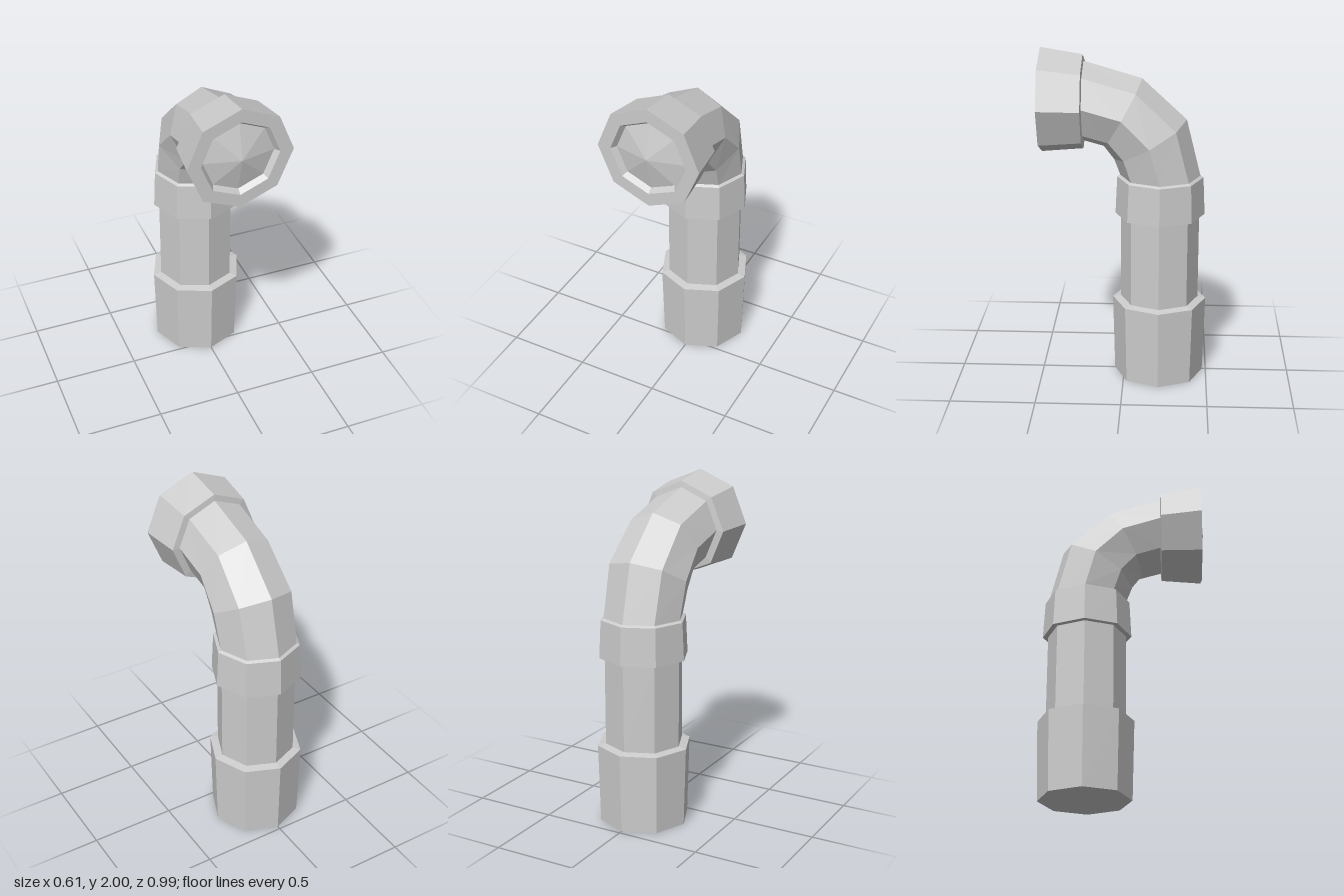
import * as THREE from 'three';

const SIDES = 8;
const AXIS_Z = -0.21; // upright pipe axis
const MOUTH_Y = 1.69; // horizontal mouth axis

// Octagonal ring of radius r, tilted from vertical (0) to forward (90 degrees)
function ringPoints([y, z, r, tilt]) {
  const a = THREE.MathUtils.degToRad(tilt);
  return Array.from({ length: SIDES }, (_, i) => {
    const t = (i / SIDES) * Math.PI * 2;
    const w = r * Math.sin(t);
    return [r * Math.cos(t), y + w * Math.sin(a), z - w * Math.cos(a)];
  });
}

// Skin a list of rings [y, z, radius, tilt]; a zero radius closes to a point
function loft(name, rings) {
  const pts = rings.map(ringPoints);
  const pos = [];
  for (let i = 0; i < rings.length - 1; i++) {
    for (let j = 0; j < SIDES; j++) {
      const k = (j + 1) % SIDES;
      const a = pts[i][j], b = pts[i][k], c = pts[i + 1][k], d = pts[i + 1][j];
      if (rings[i][2] > 0) pos.push(...a, ...b, ...c);
      if (rings[i + 1][2] > 0) pos.push(...a, ...c, ...d);
    }
  }
  const geo = new THREE.BufferGeometry();
  geo.setAttribute('position', new THREE.Float32BufferAttribute(pos, 3));
  geo.computeVertexNormals();
  const mat = new THREE.MeshStandardMaterial({
    color: 0xcccccc, flatShading: true, side: THREE.DoubleSide,
  });
  const mesh = new THREE.Mesh(geo, mat);
  mesh.name = name;
  return mesh;
}

const upright = (y, r) => [y, AXIS_Z, r, 0];
const forward = (z, r, y = MOUTH_Y) => [y, z, r, 90];

export function createModel() {
  const group = new THREE.Group();
  group.name = 'pipe';
  group.add(
    // Wide foot with a closed underside and a stepped top
    loft('baseSleeve', [upright(0, 0), upright(0, 0.268), upright(0.475, 0.28), upright(0.485, 0.232)]),
    // Straight upright pipe
    loft('shaft', [upright(0.485, 0.232), upright(1.01, 0.232)]),
    // Collar joining shaft and bend
    loft('collar', [upright(1.01, 0.232), upright(1.01, 0.264), upright(1.235, 0.253), upright(1.245, 0.235)]),
    // Bend turning forward
    loft('elbow', [
      upright(1.245, 0.235),
      [1.46, -0.15, 0.243, 30],
      [1.62, 0.01, 0.23, 61],
      forward(0.235, 0.235, 1.685),
    ]),
    // Flared mouth: outer wall, front rim, recess and shallow cone plug
    loft('mouth', [
      forward(0.235, 0.235, 1.685), forward(0.24, 0.277, 1.68),
      forward(0.483, 0.307), forward(0.483, 0.228),
      forward(0.45, 0.206), forward(0.5, 0),
    ]),
  );
  return group;
}
